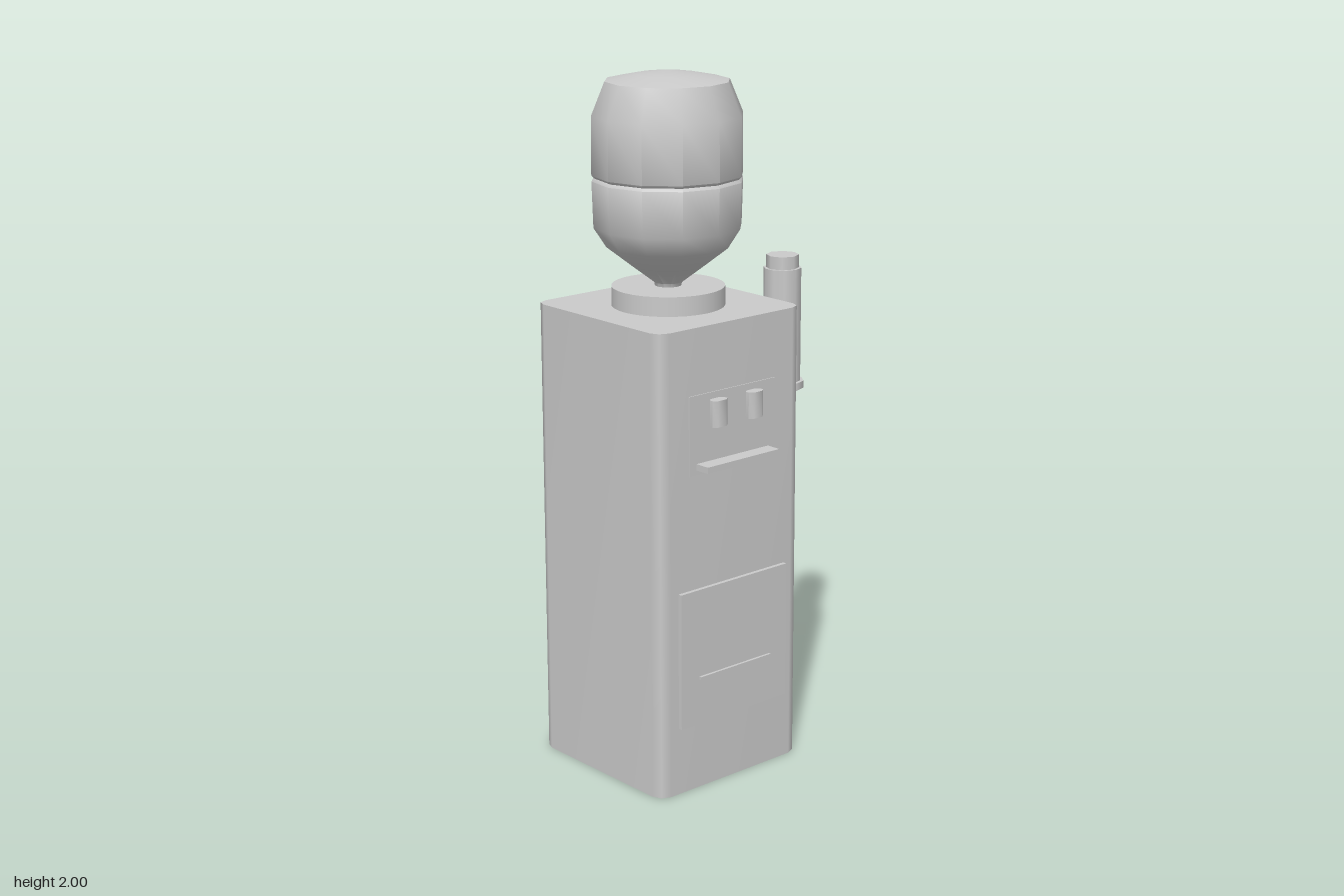
import * as THREE from 'three';
import { mergeVertices, toCreasedNormals } from 'three/addons/utils/BufferGeometryUtils.js';

const CX = -0.12, CZ = -0.025;   // centre of the cabinet
const FRONT = 0.242;             // z of the cabinet front
const HALF = 0.266, HEIGHT = 1.345;

export function createModel() {
  const group = new THREE.Group();
  const grey = new THREE.MeshStandardMaterial({ color: 0xcacaca, side: THREE.DoubleSide });
  grey.name = 'light grey';

  function add(name, geometry, x = 0, y = 0, z = 0) {
    const mesh = new THREE.Mesh(geometry, grey);
    mesh.name = name;
    mesh.position.set(x, y, z);
    group.add(mesh);
    return mesh;
  }
  // Box given by its limits
  function box(name, x0, x1, y0, y1, z0, z1) {
    return add(name, new THREE.BoxGeometry(x1 - x0, y1 - y0, z1 - z0),
      (x0 + x1) / 2, (y0 + y1) / 2, (z0 + z1) / 2);
  }
  function cylinder(name, radius, y0, y1, sides, x, z) {
    return add(name, new THREE.CylinderGeometry(radius, radius, y1 - y0, sides), x, (y0 + y1) / 2, z);
  }
  function lathe(name, profile, sides) {
    const points = profile.map(([r, y]) => new THREE.Vector2(r, y));
    return add(name, toCreasedNormals(new THREE.LatheGeometry(points, sides), 0.8), CX, 0, CZ);
  }

  // Cabinet outline: square with three points on each rounded corner
  const radius = 0.038, outline = [];
  for (let k = 0; k < 12; k++) {
    const corner = Math.floor(k / 3) * Math.PI / 2 + Math.PI / 4;
    const a = corner + (k % 3 - 1) * Math.PI / 4;
    const reach = (HALF - radius) * Math.SQRT2;
    outline.push(new THREE.Vector2(
      reach * Math.cos(corner) + radius * Math.cos(a),
      reach * Math.sin(corner) + radius * Math.sin(a)));
  }

  // Cabinet walls, open underneath, with softly blended corners
  let walls = new THREE.CylinderGeometry(1, 1, HEIGHT, 12, 1, true);
  const pos = walls.attributes.position;
  for (let i = 0; i < pos.count; i++) {
    const p = outline[i % 13 % 12];
    pos.setX(i, p.y);
    pos.setZ(i, p.x);
  }
  walls.deleteAttribute('uv');
  walls.deleteAttribute('normal');
  walls = mergeVertices(walls);
  walls.computeVertexNormals();
  add('cabinetWalls', walls, CX, HEIGHT / 2, CZ);

  const lid = new THREE.ShapeGeometry(new THREE.Shape(outline));
  lid.rotateX(-Math.PI / 2);
  add('cabinetTop', lid, CX, HEIGHT, CZ);

  // Bottle and its collar
  cylinder('bottleCollar', 0.16, HEIGHT, 1.4, 32, CX, CZ);
  lathe('bottleLower', [[0.036, 1.39], [0.04, 1.41], [0.105, 1.46], [0.175, 1.515],
    [0.21, 1.57], [0.214, 1.7], [0.206, 1.708]], 12);
  lathe('bottleUpper', [[0.206, 1.708], [0.214, 1.716], [0.213, 1.88],
    [0.175, 1.973], [0.09, 1.99], [0, 2.0]], 12);

  // Front: tap panel, two taps, drip tray, door and door handle
  box('tapPanel', -0.28, 0.04, 0.93, 1.157, FRONT - 0.004, FRONT + 0.002);
  const tap = new THREE.Shape([[-0.027, 0.006], [-0.027, -0.006], [-0.015, -0.016], [0.015, -0.016],
    [0.027, -0.006], [0.027, 0.006], [0.015, 0.016], [-0.015, 0.016]]
    .map(([x, y]) => new THREE.Vector2(x, y)));
  for (const side of [-1, 1]) {
    const geometry = new THREE.ExtrudeGeometry(tap, { depth: 0.075, bevelEnabled: false });
    geometry.rotateX(-Math.PI / 2);
    add(side < 0 ? 'rightTap' : 'leftTap', toCreasedNormals(geometry, 1), CX + side * 0.067, 1.063, 0.259);
  }
  box('dripTray', -0.254, 0.014, 0.945, 0.963, FRONT, 0.29);
  box('door', -0.32, 0.08, 0.2, 0.6, FRONT, 0.254);
  box('doorHandle', -0.254, 0.014, 0.335, 0.343, 0.254, 0.262);

  // Cup dispenser on its arm
  const cupX = 0.323;
  box('dispenserArm', 0.146, 0.29, 1.21, 1.265, -0.064, 0.014);
  cylinder('cupTube', 0.056, 1.04, 1.387, 10, cupX, CZ);
  cylinder('tubeRim', 0.066, 1.025, 1.047, 10, cupX, CZ);
  cylinder('cupStack', 0.048, 1.38, 1.425, 8, cupX, CZ);

  return group;
}
